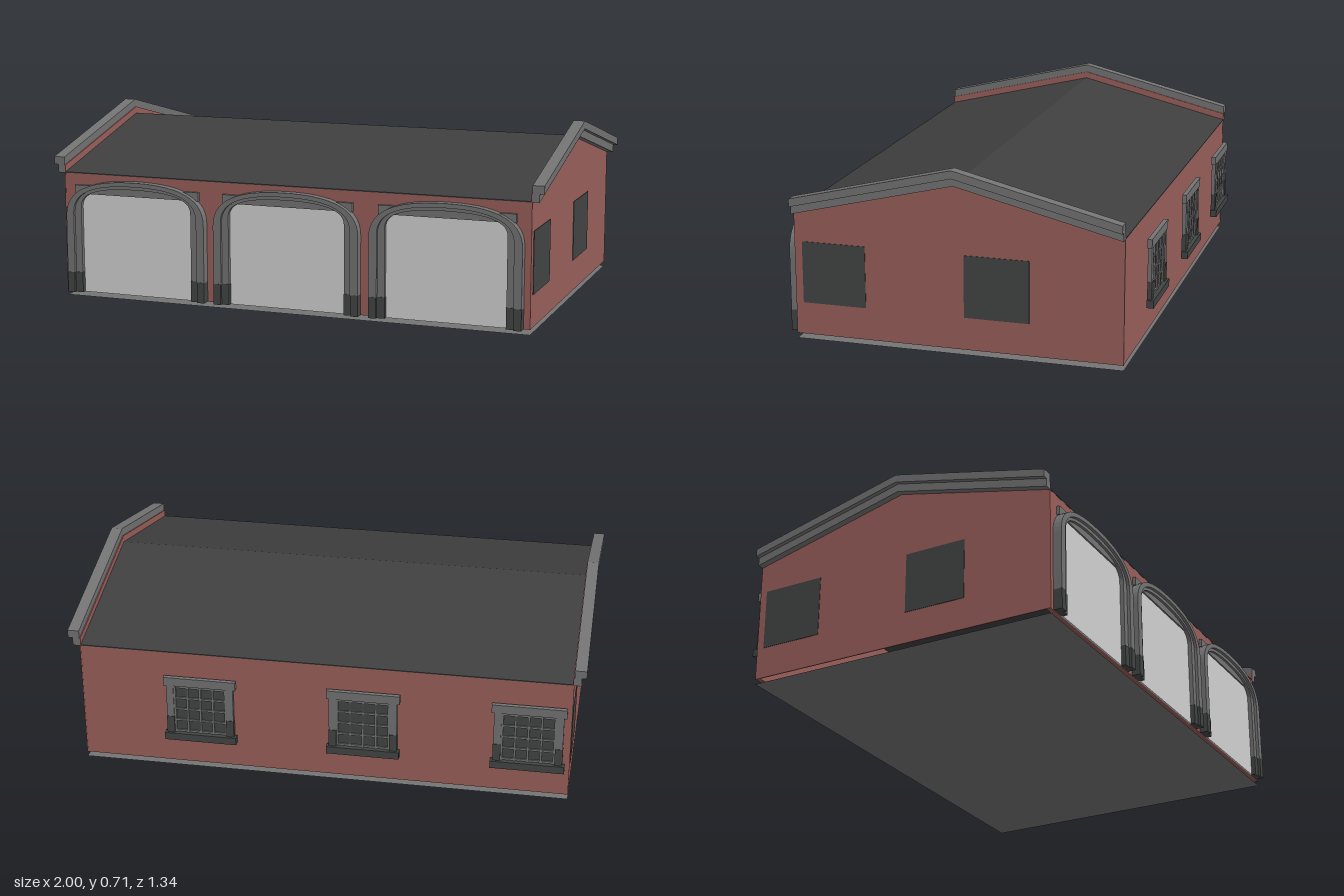
import * as THREE from 'three';

const mat = (name, color) => Object.assign(new THREE.MeshStandardMaterial({ color }), { name });

export function createModel() {
  const brick = mat('brick red', 0x9a605b);
  const stone = mat('stone grey', 0x747474);
  const slate = mat('dark slate', 0x3f3f3f);
  const darkStone = mat('dark stone', 0x434545);
  const panel = mat('door light grey', 0xd3d3d3);
  stone.side = THREE.DoubleSide;

  const model = new THREE.Group();
  model.name = 'garage';

  const add = (parent, name, geo, material) => {
    const m = new THREE.Mesh(geo, material);
    m.name = name;
    parent.add(m);
    return m;
  };
  // Box given by its minimum and maximum on each axis
  const box = (parent, name, material, x0, x1, y0, y1, z0, z1) => {
    const m = add(parent, name, new THREE.BoxGeometry(x1 - x0, y1 - y0, z1 - z0), material);
    m.position.set((x0 + x1) / 2, (y0 + y1) / 2, (z0 + z1) / 2);
    return m;
  };
  const group = (parent, name) => {
    const g = new THREE.Group();
    g.name = name;
    parent.add(g);
    return g;
  };
  const polygon = (pts) => new THREE.Shape(pts.map((p) => new THREE.Vector2(...p)));
  const extrude = (shape, depth) =>
    new THREE.ExtrudeGeometry(shape, { depth, bevelEnabled: false, curveSegments: 14 });
  // Extrude a side profile (z, y) along x
  const alongX = (shape, x0, x1) => extrude(shape, x1 - x0).rotateY(Math.PI / 2).translate(x0, 0, 0);

  const D = 0.635, EAVE = 0.5, RIDGE = 0.655;
  // Bent strip that follows the roof pitch, between two heights above it
  const chevron = (a, b) => polygon([
    [-D, EAVE + a], [0, RIDGE + a], [D, EAVE + a],
    [D, EAVE + b], [0, RIDGE + b], [-D, EAVE + b]]);

  // Floor, long walls and roof
  const floor = add(model, 'floor', new THREE.PlaneGeometry(1.91, 2 * D), stone);
  floor.rotation.x = -Math.PI / 2;
  box(model, 'frontWall', brick, -0.952, 0.952, 0.02, EAVE - 0.004, D - 0.02, D - 0.001);
  box(model, 'backWall', brick, -0.952, 0.952, 0.02, EAVE - 0.004, 0.001 - D, 0.02 - D);
  add(model, 'roof', alongX(chevron(-0.004, 0), -0.953, 0.953), slate);

  // Gable ends: the second is the first turned half way round
  for (let i = 0; i < 2; i++) {
    const end = group(model, i ? 'rightGable' : 'leftGable');
    end.rotation.y = i * Math.PI;
    const wall = polygon([[-D, 0.02], [D, 0.02], [D, EAVE + 0.027], [0, RIDGE + 0.027], [-D, EAVE + 0.027]]);
    add(end, 'gableWall', alongX(wall, 0.951, 0.955), brick);
    add(end, 'lowerCoping', alongX(chevron(-0.004, 0.028), 0.955, 0.982), stone);
    add(end, 'upperCoping', alongX(chevron(0.028, 0.059), 0.955, 1), stone);
    // Flat side windows
    for (const z of [0.355, -0.28]) {
      box(end, 'sideWindow', darkStone, 0.9545, 0.957, 0.145, 0.385, z, z + 0.25);
    }
  }

  // Curve over the top of an arch, from right springing to left
  const archTop = (path, w, spring, top) => {
    const y = spring + (top - spring) * 0.68;
    path.lineTo(w, spring);
    path.bezierCurveTo(w, y, w * 0.68, top, 0, top);
    path.bezierCurveTo(-w * 0.68, top, -w, y, -w, spring);
  };
  // Same curve, from left to right
  const archUnder = (path, w, spring, top) => {
    const y = spring + (top - spring) * 0.68;
    path.lineTo(-w, spring);
    path.bezierCurveTo(-w, y, -w * 0.68, top, 0, top);
    path.bezierCurveTo(w * 0.68, top, w, y, w, spring);
  };
  // Arched band with open foot; outer and inner are [half width, springing, crown]
  const archBand = (outer, inner, depth) => {
    const s = new THREE.Shape();
    s.moveTo(outer[0], 0.1);
    archTop(s, ...outer);
    s.lineTo(-outer[0], 0.1);
    s.lineTo(-inner[0], 0.1);
    archUnder(s, ...inner);
    s.lineTo(inner[0], 0.1);
    s.closePath();
    return extrude(s, depth);
  };

  // Three garage doors with arched stone surrounds
  for (const x of [-0.637, -0.003, 0.633]) {
    const bay = group(model, 'garageBay');
    bay.position.set(x, 0, D - 0.001);
    box(bay, 'door', panel, -0.24, 0.24, 0.02, 0.42, 0, 0.006);
    box(bay, 'doorLintel', stone, -0.267, 0.267, 0.418, 0.452, 0, 0.012);
    add(bay, 'outerArch', archBand([0.297, 0.33, 0.478], [0.265, 0.345, 0.461], 0.034), stone);
    add(bay, 'innerArch', archBand([0.266, 0.344, 0.462], [0.237, 0.37, 0.447], 0.022), stone);
    for (const s of [-1, 1]) {
      const foot = group(bay, 'jambFoot');
      foot.position.x = s * 0.267;
      box(foot, 'outerFoot', darkStone, s < 0 ? -0.03 : 0, s < 0 ? 0 : 0.03, 0.02, 0.102, 0, 0.035);
      box(foot, 'innerFoot', darkStone, s < 0 ? 0 : -0.031, s < 0 ? 0.031 : 0, 0.02, 0.102, 0, 0.024);
    }
  }

  // Three barred windows along the back
  for (const x of [-0.795, -0.161, 0.479]) {
    const w = group(model, 'backWindow');
    w.position.set(x, 0, -D - 0.003);
    w.rotation.y = Math.PI;
    box(w, 'pane', darkStone, -0.115, 0.115, 0.16, 0.37, 0.004, 0.01);
    box(w, 'sill', darkStone, -0.142, 0.142, 0.13, 0.16, 0.004, 0.031);
    box(w, 'lintel', stone, -0.142, 0.142, 0.365, 0.4, 0.004, 0.022);
    for (const s of [-1, 1]) {
      box(w, 'upperJamb', stone, s * 0.118 - 0.014, s * 0.118 + 0.014, 0.23, 0.365, 0.004, 0.02);
      box(w, 'lowerJamb', darkStone, s * 0.118 - 0.015, s * 0.118 + 0.015, 0.16, 0.23, 0.004, 0.022);
    }
    for (let k = 0; k < 5; k++) {
      const u = -0.1 + 0.05 * k, y = 0.166 + 0.048 * k;
      box(w, 'upright', stone, u - 0.004, u + 0.004, 0.16, 0.365, 0.01, 0.016);
      box(w, 'crossbar', stone, -0.104, 0.104, y - 0.004, y + 0.004, 0.01, 0.015);
    }
  }
  return model;
}
